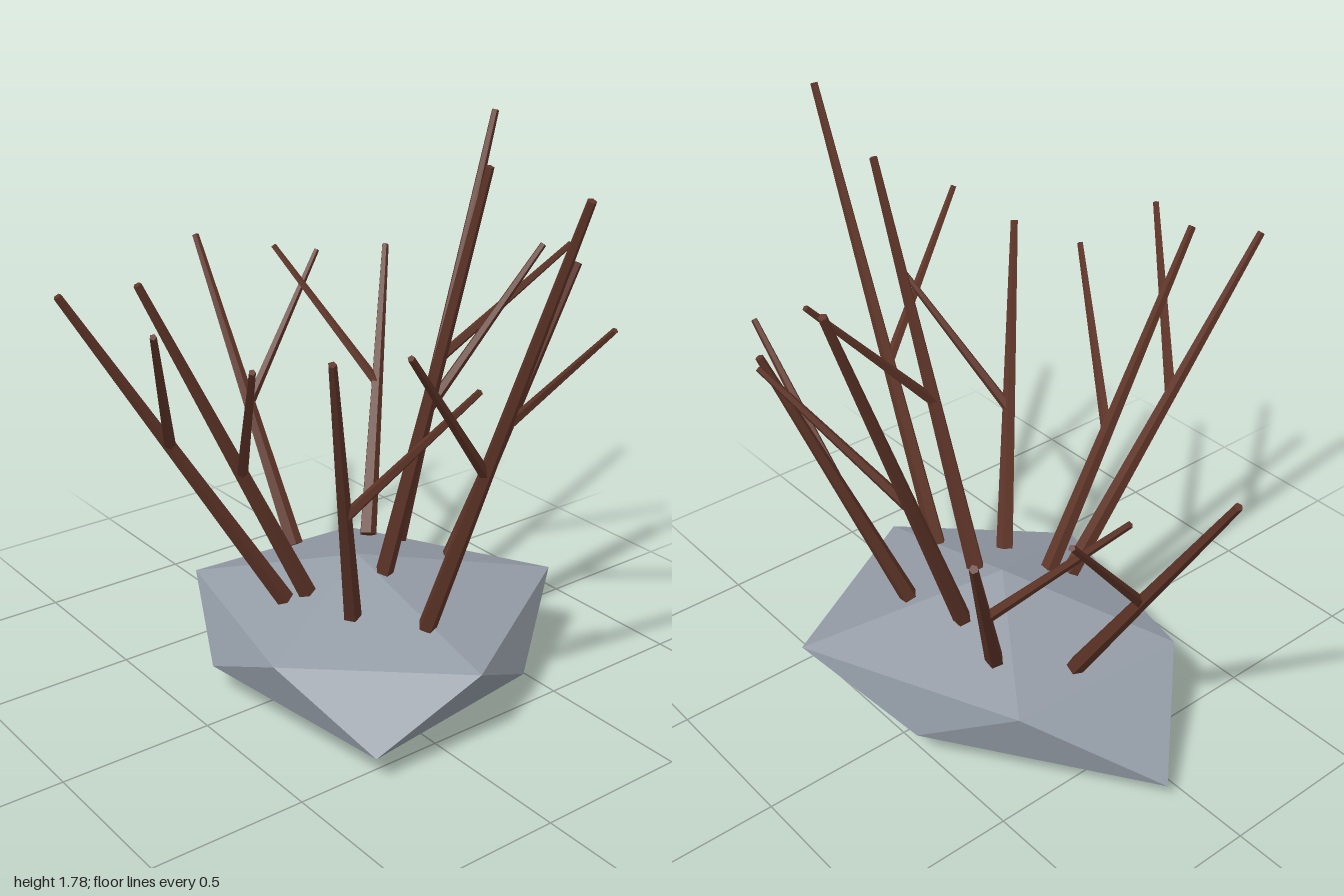
import * as THREE from 'three';

const stone = new THREE.MeshStandardMaterial({ color: 0x939ba5, flatShading: true });
stone.name = 'grey stone';
const bark = new THREE.MeshStandardMaterial({ color: 0x5f3528, flatShading: true });
bark.name = 'brown bark';

// Faceted boulder: two staggered rings of five points between a top and a bottom point
function makeRock() {
  const top = [0.02, 0.43, -0.07];
  const bottom = [0.02, 0, -0.07];
  const upper = [[-0.46, 0.27, 0.24], [0.2, 0.26, 0.385], [0.62, 0.27, -0.07], [0.26, 0.29, -0.69], [-0.42, 0.27, -0.37]];
  const lower = [[-0.14, 0.105, 0.385], [0.565, 0.09, 0.28], [0.49, 0.105, -0.37], [-0.13, 0.105, -0.54], [-0.76, 0.065, -0.07]];
  const points = [];
  for (let i = 0; i < 5; i++) {
    const j = (i + 1) % 5;
    points.push(...top, ...upper[i], ...upper[j]);
    points.push(...upper[i], ...lower[i], ...upper[j]);
    points.push(...lower[i], ...lower[j], ...upper[j]);
    points.push(...bottom, ...lower[j], ...lower[i]);
  }
  const geometry = new THREE.BufferGeometry();
  geometry.setAttribute('position', new THREE.Float32BufferAttribute(points, 3));
  geometry.computeVertexNormals();
  const rock = new THREE.Mesh(geometry, stone);
  rock.name = 'rock';
  return rock;
}

// Tapered five-sided stick from one point to another
function makeStick(name, from, to, baseRadius, tipRadius) {
  const direction = to.clone().sub(from);
  const length = direction.length();
  const geometry = new THREE.CylinderGeometry(tipRadius, baseRadius, length, 5);
  const stick = new THREE.Mesh(geometry, bark);
  stick.name = name;
  stick.position.copy(from).addScaledVector(direction, 0.5);
  stick.quaternion.setFromUnitVectors(new THREE.Vector3(0, 1, 0), direction.normalize());
  return stick;
}

// Each stem: base, tip, fraction along the stem where the twig forks, twig tip
const stems = [
  { base: [-0.37, 0.30, -0.1], tip: [-0.99, 1.25, -0.13], fork: 0.45, twig: [-0.78, 1.18, -0.5] },
  { base: [-0.22, 0.34, -0.3], tip: [-0.69, 1.18, -0.74], fork: 0.51, twig: [-0.83, 1.21, -0.35] },
  { base: [-0.05, 0.39, -0.29], tip: [-0.235, 1.72, -0.83], fork: 0.42, twig: [0.19, 1.37, -0.78] },
  { base: [0.15, 0.39, -0.35], tip: [0.285, 1.34, -0.72], fork: 0.45, twig: [0.63, 1.25, -0.53] },
  { base: [0.12, 0.40, -0.1], tip: [0.445, 1.74, -0.19], fork: 0.43, twig: [0.3, 1.43, -0.55] },
  { base: [0.38, 0.33, -0.06], tip: [0.985, 1.775, -0.03], fork: 0.41, twig: [0.765, 1.39, 0.345] },
  { base: [0.2, 0.34, 0.09], tip: [0.54, 1.325, 0.42], fork: 0.43, twig: [0.71, 1.22, 0.06] },
  { base: [0.01, 0.345, 0.12], tip: [-0.04, 1.44, 0.65], fork: 0.42, twig: [0.35, 1.275, 0.54] },
  { base: [-0.03, 0.33, 0.18], tip: [-0.165, 1.41, 0.83], fork: 0.54, twig: [0.24, 1.39, 0.77] },
];

export function createModel() {
  const model = new THREE.Group();
  model.name = 'rockWithBareStems';
  model.add(makeRock());

  for (const { base, tip, fork, twig } of stems) {
    const from = new THREE.Vector3(...base);
    const to = new THREE.Vector3(...tip);
    const forkPoint = from.clone().lerp(to, fork);
    const branch = new THREE.Group();
    branch.name = 'branch';
    branch.add(makeStick('stem', from, to, 0.03, 0.0125));
    branch.add(makeStick('twig', forkPoint, new THREE.Vector3(...twig), 0.018, 0.01));
    model.add(branch);
  }
  return model;
}
